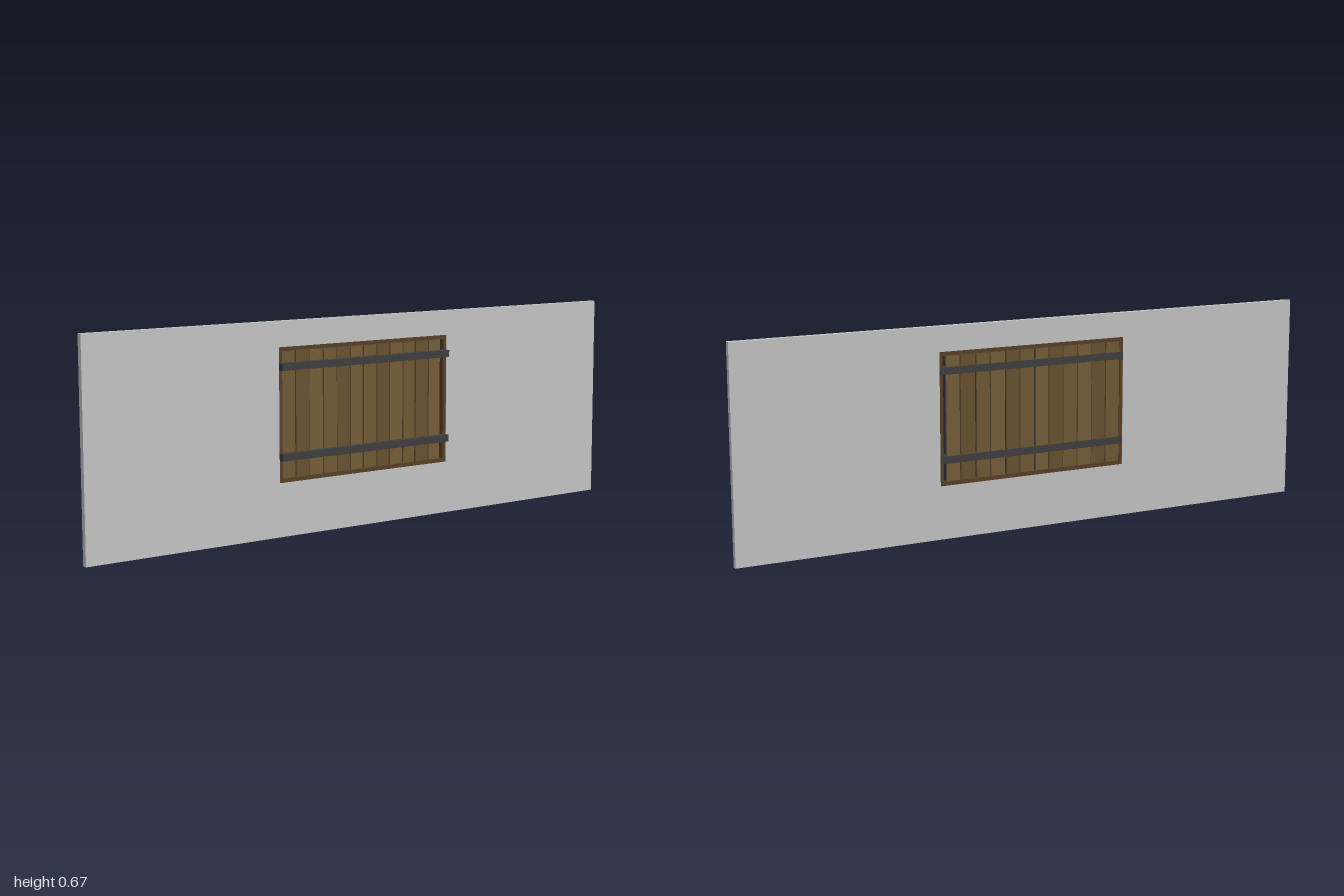
import * as THREE from 'three';

const WALL = 0xcccccc, FRAME = 0x5a4228, IRON = 0x404040;
const WOOD = [0x745c36, 0x6c5532, 0x7a603a];

const material = (color) => new THREE.MeshStandardMaterial({ color, flatShading: true });

// Box given by its extents along each axis
function box(name, [x0, x1], [y0, y1], [z0, z1], color) {
  const mesh = new THREE.Mesh(new THREE.BoxGeometry(x1 - x0, y1 - y0, z1 - z0), material(color));
  mesh.position.set((x0 + x1) / 2, (y0 + y1) / 2, (z0 + z1) / 2);
  mesh.name = name;
  return mesh;
}

// Rectangle outline in (z, y), as a Shape or a Path
function rectangle(Type, z, y0, y1) {
  return new Type([[-z, y0], [z, y0], [z, y1], [-z, y1]].map((p) => new THREE.Vector2(...p)));
}

// Upright panel with a rectangular opening, extruded along x
function openPanel(name, outer, inner, x0, x1, color) {
  const shape = rectangle(THREE.Shape, ...outer);
  shape.holes.push(rectangle(THREE.Path, ...inner));
  const geometry = new THREE.ExtrudeGeometry(shape, { depth: x1 - x0, bevelEnabled: false });
  geometry.rotateY(Math.PI / 2);
  geometry.translate(x0, 0, 0);
  const mesh = new THREE.Mesh(geometry, material(color));
  mesh.name = name;
  return mesh;
}

export function createModel() {
  const model = new THREE.Group();
  model.name = 'wallWithShutter';

  // Wall with its window opening
  model.add(openPanel('wall', [1, 0, 0.67], [0.33, 0.17, 0.59], -0.0175, 0, WALL));

  const shutter = new THREE.Group();
  shutter.name = 'shutter';
  model.add(shutter);

  // Thin wooden frame lining the opening
  shutter.add(openPanel('frame', [0.33, 0.17, 0.59], [0.318, 0.183, 0.577], -0.0165, -0.001, FRAME));

  // Vertical planks, with wider gaps between a few of them
  const count = 12, pitch = 0.0525, start = 0.318;
  for (let i = 0; i < count; i++) {
    const gap = i >= 5 && i % 2 === 1 ? 0.007 : 0.003;
    const z = start - i * pitch;
    const depth = (i % 2) * 0.002;
    shutter.add(box('plank', [-0.014 + depth, -0.005 + depth], [0.18, 0.58],
      [z - pitch + gap, z], WOOD[i % 3]));
  }

  // Horizontal iron bars, passing through the planks and standing proud
  for (const y of [0.251, 0.53]) {
    shutter.add(box('crossBar', [-0.018, 0.0175], [y - 0.0115, y + 0.0115], [-0.328, 0.33], IRON));
  }
  return model;
}
